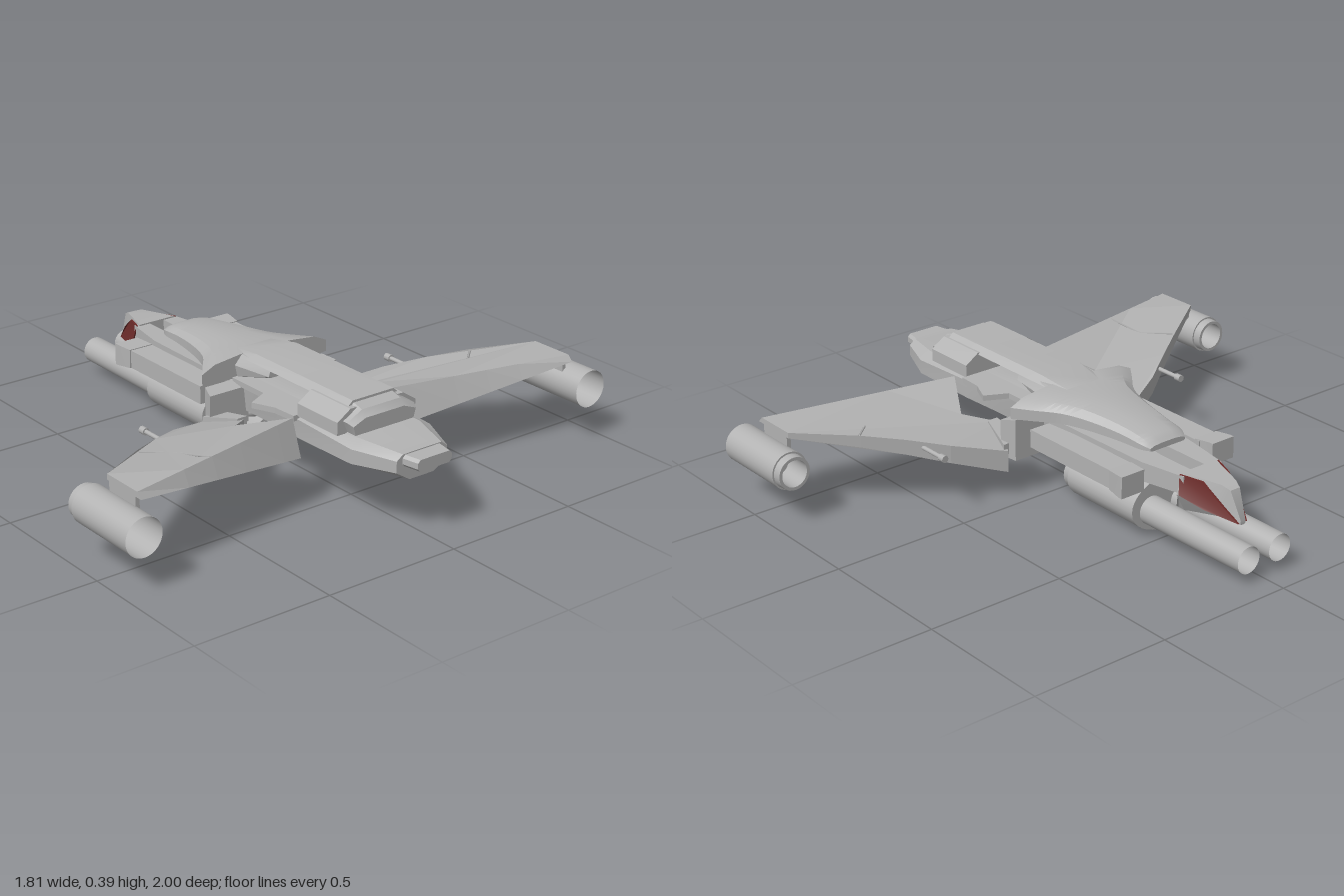
import * as THREE from 'three';
import { toCreasedNormals } from 'three/addons/utils/BufferGeometryUtils.js';

const grey = new THREE.MeshStandardMaterial({ color: 0xb2b2b2, side: THREE.DoubleSide });
grey.name = 'hullGrey';
const red = new THREE.MeshStandardMaterial({ color: 0x6e2c2a, side: THREE.DoubleSide });
red.name = 'windowRed';

// Skin a list of equal-length rings of [x, y, z], cap both ends, face outward
function loft(rings) {
  const tris = [];
  const n = rings[0].length;
  for (let i = 0; i < rings.length - 1; i++) {
    for (let j = 0; j < n; j++) {
      const k = (j + 1) % n, a = rings[i], b = rings[i + 1];
      tris.push([a[j], a[k], b[k]], [a[j], b[k], b[j]]);
    }
  }
  const first = rings[0], last = rings[rings.length - 1];
  for (let j = 1; j < n - 1; j++) {
    tris.push([first[0], first[j + 1], first[j]], [last[0], last[j], last[j + 1]]);
  }
  const c = new THREE.Vector3(...first[0]);
  const v = (p) => new THREE.Vector3(...p).sub(c);
  let volume = 0;
  for (const [p, q, r] of tris) volume += v(p).dot(v(q).cross(v(r)));
  if (volume < 0) tris.forEach((t) => t.reverse());
  const geo = new THREE.BufferGeometry();
  geo.setAttribute('position', new THREE.Float32BufferAttribute(tris.flat(2), 3));
  return toCreasedNormals(geo, 0.45);
}

// Ring at x from a right-half profile of [z, y], mirrored across z
const ring = (x, half) => [
  ...half.map(([z, y]) => [x, y, z]),
  ...half.slice().reverse().map(([z, y]) => [x, y, -z]),
];

// Rectangular ring at x
const rect = (x, y0, y1, z0, z1, s = 1) => [
  [x, y0, z0 * s], [x, y1, z0 * s], [x, y1, z1 * s], [x, y0, z1 * s],
];

// Flat outline of [x, z] extruded upward from y = 0
function plate(points, height) {
  const shape = new THREE.Shape(points.map(([x, z]) => new THREE.Vector2(x, -z)));
  return new THREE.ExtrudeGeometry(shape, { depth: height, bevelEnabled: false }).rotateX(-Math.PI / 2);
}

// Cylinder along x from x0 (radius r0) to x1 (radius r1)
function tube(x0, x1, r0, r1, open = true, sides = 32) {
  return new THREE.CylinderGeometry(r1, r0, x1 - x0, sides, 1, open)
    .rotateZ(-Math.PI / 2).translate((x0 + x1) / 2, 0, 0);
}
const disc = (x, r) => new THREE.CircleGeometry(r, 32).rotateY(Math.PI / 2).translate(x, 0, 0);
const annulus = (x, r0, r1) => new THREE.RingGeometry(r0, r1, 32).rotateY(Math.PI / 2).translate(x, 0, 0);

// Wing: planform pulled between a sloping upper and lower skin
function wing(s) {
  const outline = [
    [0.05, 0.27], [0.13, 0.45], [0.21, 0.575], [0.29, 0.7], [0.42, 0.9], [0.58, 0.9],
    [0.54, 0.7], [0.515, 0.575], [0.49, 0.45], [0.455, 0.275], [0.44, 0.2], [0.27, 0.3], [0.19, 0.2],
  ];
  const geo = plate(outline.map(([x, z]) => [x, z * s]), 1);
  const p = geo.attributes.position;
  for (let i = 0; i < p.count; i++) {
    const x = p.getX(i), t = (Math.abs(p.getZ(i)) - 0.2) / 0.7;
    const f = Math.max(0, (0.44 + 0.14 * t - x) / 0.4);
    if (p.getY(i) > 0.5) {
      p.setY(i, 0.315 - 0.005 * t - 0.14 * f * (1 - t));
    } else {
      p.setY(i, 0.19 + 0.1 * t - 0.1 * f * (1 - t));
      if (f < 0.06) p.setX(i, x + 0.045 - 0.025 * t);
    }
  }
  geo.computeVertexNormals();
  return geo;
}

export function createModel() {
  const model = new THREE.Group();
  model.name = 'spacecraft';
  const add = (name, geo, y = 0, z = 0, mat = grey) => {
    const mesh = new THREE.Mesh(geo, mat);
    mesh.name = name;
    mesh.position.set(0, y, z);
    model.add(mesh);
    return mesh;
  };

  // Main hull and tapering tail
  add('hull', loft([
    ring(-0.03, [[0.04, 0.15], [0.12, 0.2], [0.13, 0.29], [0.1, 0.3]]),
    ring(0.08, [[0.04, 0.15], [0.12, 0.2], [0.13, 0.29], [0.1, 0.3]]),
    ring(0.27, [[0.05, 0.165], [0.13, 0.21], [0.14, 0.29], [0.1, 0.305]]),
    ring(0.42, [[0.05, 0.17], [0.165, 0.23], [0.165, 0.295], [0.12, 0.31]]),
    ring(0.69, [[0.05, 0.18], [0.165, 0.235], [0.165, 0.285], [0.12, 0.308]]),
    ring(0.84, [[0.05, 0.205], [0.105, 0.24], [0.105, 0.28], [0.08, 0.298]]),
  ]));
  add('tailTip', loft([
    ring(0.82, [[0.075, 0.255], [0.085, 0.265], [0.085, 0.285], [0.075, 0.295]]),
    ring(0.9, [[0.06, 0.255], [0.07, 0.265], [0.07, 0.285], [0.06, 0.295]]),
  ]));

  // Flared hood, smooth along its length
  const hoodCurve = new THREE.CatmullRomCurve3([
    [-0.45, 0.325, 0.075], [-0.42, 0.343, 0.09], [-0.33, 0.36, 0.1], [-0.2, 0.373, 0.125],
    [-0.1, 0.378, 0.16], [-0.02, 0.381, 0.22], [0.04, 0.385, 0.265],
  ].map((a) => new THREE.Vector3(...a)));
  add('hood', loft(hoodCurve.getPoints(24).map(({ x, y, z }) => ring(x, [
    [z * 0.9, 0.305], [z, 0.308], [z, 0.305 + (y - 0.305) * 0.55],
    [z * 0.8, 0.305 + (y - 0.305) * 0.85], [z * 0.4, y],
  ]))));

  // Roof panel, rear block and back step of the spine
  add('roofPanel', loft([
    ring(-0.02, [[0.1, 0.37], [0.07, 0.381]]),
    ring(0.1, [[0.11, 0.378], [0.085, 0.4]]),
    ring(0.6, [[0.11, 0.378], [0.085, 0.4]]),
  ]));
  add('hoodTail', loft([
    ring(0.03, [[0.12, 0.305], [0.13, 0.35], [0.1, 0.384]]),
    ring(0.2, [[0.1, 0.35], [0.11, 0.355], [0.1, 0.384]]),
  ]));
  add('spineBlock', loft([
    ring(0.42, [[0.163, 0.305], [0.163, 0.35], [0.11, 0.385]]),
    ring(0.62, [[0.163, 0.305], [0.163, 0.35], [0.11, 0.385]]),
  ]));
  add('spineStep', loft([
    ring(0.6, [[0.12, 0.305], [0.14, 0.35], [0.08, 0.392]]),
    ring(0.64, [[0.12, 0.305], [0.14, 0.35], [0.08, 0.382]]),
    ring(0.66, [[0.12, 0.305], [0.13, 0.34], [0.08, 0.36]]),
  ]));

  // Cockpit pod with side windows
  add('cockpit', loft([
    ring(-0.81, [[0.006, 0.16], [0.012, 0.165], [0.01, 0.175]]),
    ring(-0.77, [[0.02, 0.165], [0.03, 0.18], [0.02, 0.27]]),
    ring(-0.74, [[0.03, 0.17], [0.042, 0.19], [0.03, 0.282]]),
    ring(-0.6, [[0.06, 0.15], [0.095, 0.215], [0.075, 0.288]]),
  ]));
  add('cockpitKeel', loft([
    ring(-0.7, [[0.025, 0.165], [0.035, 0.19]]),
    ring(-0.58, [[0.03, 0.13], [0.07, 0.215]]),
    ring(-0.53, [[0.02, 0.11], [0.03, 0.12]]),
  ]));

  // Drum below the neck, with paired nozzles at its open end
  const drum = new THREE.Group();
  drum.name = 'drum';
  const drumParts = {
    shell: tube(-0.45, -0.12, 0.098, 0.098), rim: tube(-0.115, -0.085, 0.09, 0.09),
    rimStep: annulus(-0.12, 0.08, 0.098), rimEdge: annulus(-0.085, 0.078, 0.09),
    innerWall: tube(-0.2, -0.085, 0.078, 0.078), frontCap: disc(-0.45, 0.098), backCap: disc(-0.2, 0.08),
  };
  for (const [name, geo] of Object.entries(drumParts)) {
    const mesh = new THREE.Mesh(geo, grey);
    mesh.name = name;
    drum.add(mesh);
  }
  drum.scale.z = 1.55;
  drum.position.y = 0.108;
  model.add(drum);
  add('drumStrut', new THREE.BoxGeometry(0.16, 0.08, 0.06).translate(-0.27, 0.23, 0));
  add('feedPipe', new THREE.TubeGeometry(new THREE.CatmullRomCurve3([
    new THREE.Vector3(-0.19, 0.11, 0), new THREE.Vector3(-0.06, 0.115, 0),
    new THREE.Vector3(0, 0.14, 0), new THREE.Vector3(0.06, 0.18, 0),
  ]), 16, 0.018, 12));

  for (const s of [1, -1]) {
    const side = s > 0 ? 'left' : 'right';
    const put = (name, geo, y, z, mat) => add(side + name, geo, y, z, mat);

    // Window just outside the cockpit wall
    const wall = (x, z, y) => [x, y, z * s];
    const inner = [
      wall(-0.808, 0.014, 0.166), wall(-0.735, 0.043, 0.235), wall(-0.68, 0.053, 0.28),
      wall(-0.602, 0.08, 0.285), wall(-0.615, 0.094, 0.22), wall(-0.7, 0.062, 0.19),
    ];
    put('Window', loft([inner, inner.map(([x, y, z]) => [x, y, z + 0.006 * s])]), 0, 0, red);

    // Neck prong and side beam with its front block
    put('Neck', loft([
      rect(-0.62, 0.22, 0.283, 0.03, 0.085, s), rect(-0.45, 0.215, 0.283, 0.03, 0.115, s),
      rect(-0.02, 0.21, 0.303, 0, 0.15, s),
    ]));
    put('Beam', loft([rect(-0.45, 0.215, 0.28, 0.14, 0.23, s), rect(-0.02, 0.215, 0.28, 0.14, 0.23, s)]));
    put('BeamBlock', loft([
      rect(-0.505, 0.21, 0.287, 0.15, 0.245, s), rect(-0.49, 0.21, 0.287, 0.15, 0.245, s),
      rect(-0.43, 0.215, 0.283, 0.14, 0.235, s),
    ]));

    // Forward barrel, open at the muzzle, and nozzle inside the drum
    put('Barrel', tube(-0.91, -0.44, 0.047, 0.05), 0.095, 0.068 * s);
    put('BarrelBack', disc(-0.7, 0.047), 0.095, 0.068 * s);
    put('DrumNozzle', tube(-0.2, -0.1, 0.045, 0.04), 0.105, 0.066 * s);

    // Wing, raised outer panel edge and wing gun
    put('Wing', wing(s));
    put('PanelSeam', new THREE.TubeGeometry(new THREE.CatmullRomCurve3([
      [0.3, 0.283, 0.7], [0.38, 0.283, 0.61], [0.51, 0.309, 0.58],
    ].map(([x, y, z]) => new THREE.Vector3(x, y, z * s)), false, 'catmullrom', 0), 12, 0.004, 4));
    put('WingGun', tube(0.06, 0.22, 0.008, 0.008, false, 10), 0.23, 0.525 * s);
    put('WingGunMuzzle', tube(0.06, 0.085, 0.013, 0.013, false, 10), 0.23, 0.525 * s);

    // Wing root arm and jagged shoulder plate
    put('RootArm', loft([
      rect(0.035, 0.15, 0.3, 0.11, 0.25, s), rect(0.09, 0.16, 0.29, 0.11, 0.27, s),
    ]));
    put('RootBrace', loft([
      rect(0.06, 0.17, 0.21, 0.2, 0.28, s), rect(0.2, 0.2, 0.24, 0.2, 0.24, s),
    ]));
    put('ShoulderPlate', plate([
      [0.04, 0.08], [0.04, 0.14], [0.21, 0.14], [0.25, 0.22], [0.33, 0.185], [0.42, 0.18], [0.42, 0.08],
    ].map(([x, z]) => [x, z * s]), 0.02), 0.29);

    // Wingtip engine: open shell, narrower intake ring, inner bulkhead
    const ey = 0.2, ez = 0.933 * s;
    put('Engine', tube(0.37, 0.66, 0.067, 0.067), ey, ez);
    put('EngineStep', annulus(0.37, 0.048, 0.067), ey, ez);
    put('IntakeRing', tube(0.34, 0.37, 0.059, 0.061), ey, ez);
    put('IntakeEdge', annulus(0.34, 0.048, 0.059), ey, ez);
    put('IntakeBore', tube(0.34, 0.45, 0.048, 0.048), ey, ez);
    put('EngineBulkhead', disc(0.45, 0.067), ey, ez);
    put('EnginePylon', loft([
      rect(0.43, 0.24, 0.305, 0.885, 0.9, s), rect(0.57, 0.24, 0.305, 0.885, 0.9, s),
    ]));
  }
  return model;
}
